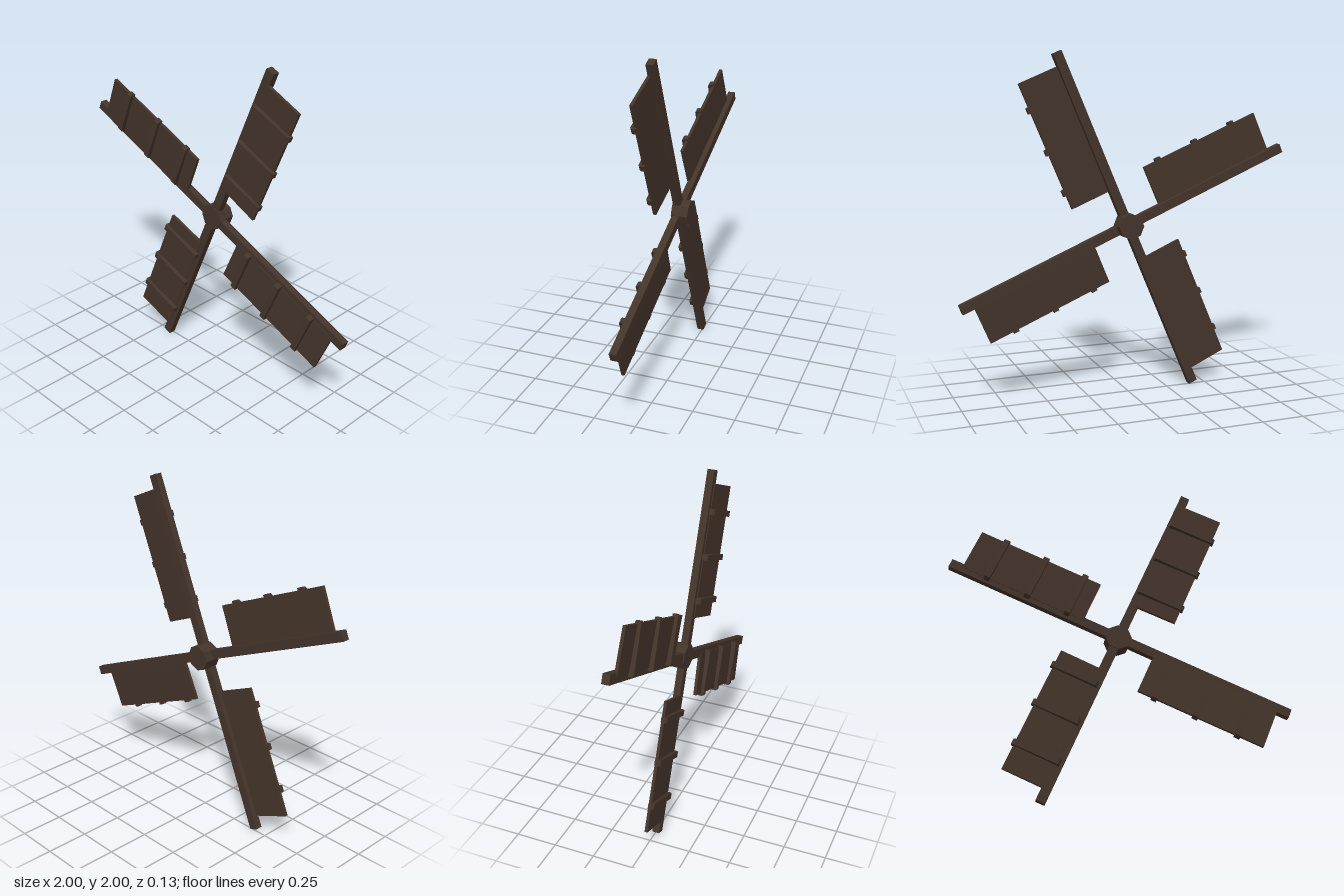
import * as THREE from 'three';

const wood = new THREE.MeshStandardMaterial({ color: 0x44342a, flatShading: true });

// Box given by its min and max corners
function box(name, [x0, y0, z0], [x1, y1, z1]) {
  const g = new THREE.BoxGeometry(x1 - x0, y1 - y0, z1 - z0);
  g.translate((x0 + x1) / 2, (y0 + y1) / 2, (z0 + z1) / 2);
  const m = new THREE.Mesh(g, wood);
  m.name = name;
  return m;
}

// Cross batten with slightly chamfered front ends
function batten(v) {
  const x0 = -0.01, x1 = 0.277, w = 0.034, c = 0.01;
  const s = new THREE.Shape([
    [x0, 0.03], [x1, 0.03], [x1, 0.055], [x1 - c, 0.064], [x0 + c, 0.064], [x0, 0.055],
  ].map(([x, z]) => new THREE.Vector2(x, z)));
  const g = new THREE.ExtrudeGeometry(s, { depth: w, bevelEnabled: false });
  g.rotateX(Math.PI / 2); // profile depth now runs down -y, profile height along +z
  g.translate(0, v + w / 2, 0);
  const m = new THREE.Mesh(g, wood);
  m.name = 'batten';
  return m;
}

// One sail: spar, board on its clockwise side, three battens
function sail() {
  const group = new THREE.Group();
  group.name = 'sail';
  group.add(box('spar', [-0.027, 0.03, -0.01], [0.027, 1.075, 0.032]));
  const board = box('board', [0.005, 0.228, 0.018], [0.263, 1.0, 0.036]);
  // lean the board's free edge slightly forward
  const p = board.geometry.attributes.position;
  for (let i = 0; i < p.count; i++) if (p.getX(i) > 0.1) p.setZ(i, p.getZ(i) + 0.009);
  board.geometry.computeVertexNormals();
  group.add(board);
  for (const v of [0.33, 0.583, 0.84]) group.add(batten(v));
  return group;
}

export function createModel() {
  const model = new THREE.Group();
  model.name = 'windmillSails';
  const rotor = new THREE.Group();
  rotor.name = 'rotor';
  rotor.position.y = 1;

  // Octagonal hub
  const hubGeo = new THREE.CylinderGeometry(0.076, 0.076, 0.1, 8);
  hubGeo.rotateX(Math.PI / 2);
  const hub = new THREE.Mesh(hubGeo, wood);
  hub.name = 'hub';
  hub.position.z = -0.012;
  rotor.add(hub);

  for (let i = 0; i < 4; i++) {
    const s = sail();
    s.rotation.z = -THREE.MathUtils.degToRad(23) - i * Math.PI / 2;
    rotor.add(s);
  }
  model.add(rotor);
  return model;
}
